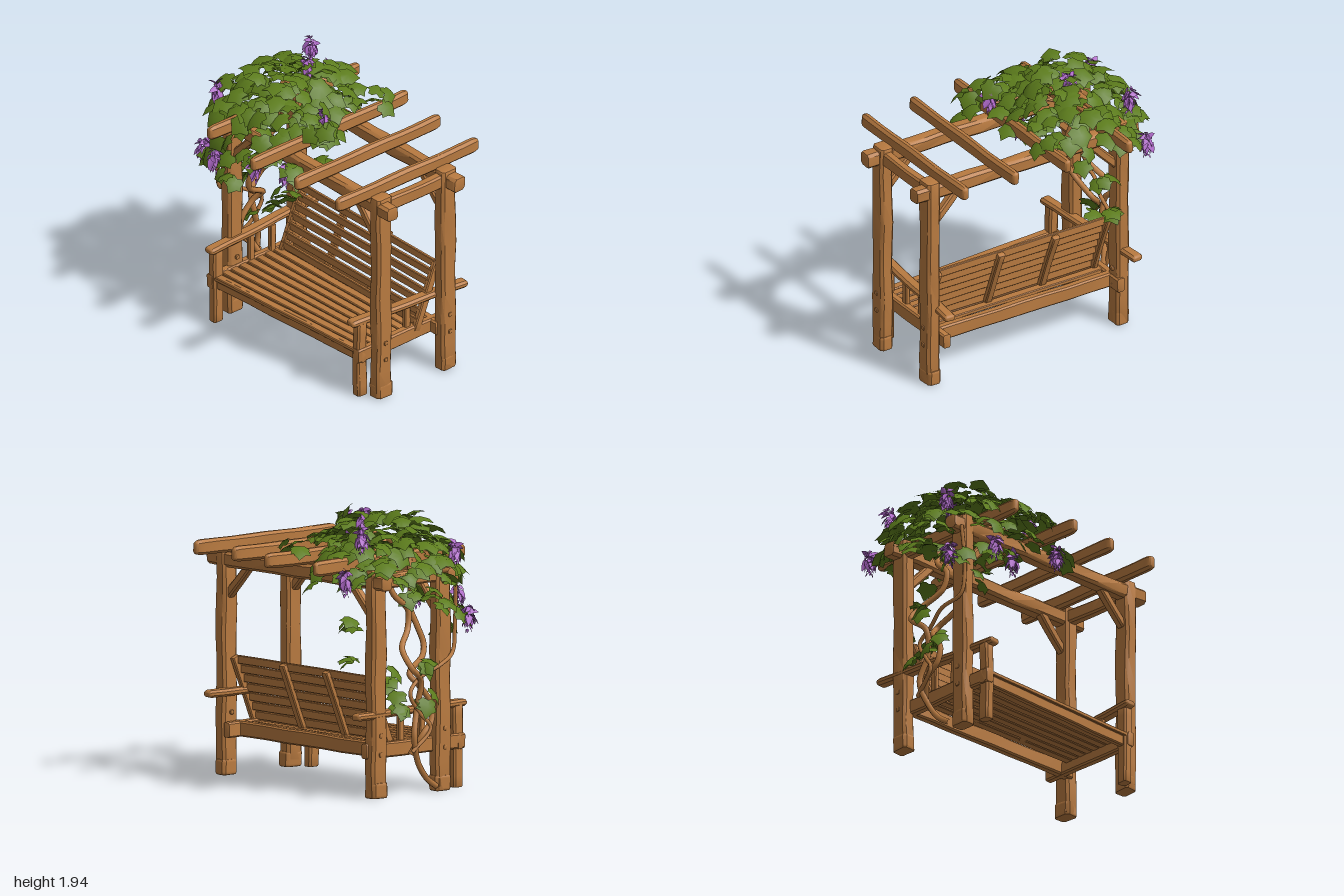
import * as THREE from 'three';
import { mergeGeometries, toCreasedNormals } from 'three/addons/utils/BufferGeometryUtils.js';

const V = (x, y, z) => new THREE.Vector3(x, y, z);
const UP = V(0, 1, 0);

export function createModel() {
  const model = new THREE.Group();
  const mat = (name, color, side = THREE.FrontSide) => {
    const m = new THREE.MeshStandardMaterial({ color, side });
    m.name = name;
    return m;
  };
  const wood = mat('warm wood', 0xb87a40);
  const leafGreen = mat('leaf green', 0x5c7c1c, THREE.DoubleSide);
  const petalPurple = mat('petal purple', 0xae68c8, THREE.DoubleSide);

  let seed = 7;
  const rnd = () => (seed = (seed * 16807) % 2147483647) / 2147483647;
  const jit = (s) => (rnd() - 0.5) * 2 * s;

  const add = (name, geo, material) => {
    const mesh = new THREE.Mesh(geo, material);
    mesh.name = name;
    model.add(mesh);
    return mesh;
  };

  // Hand-hewn timber from a to b: eased edges, slight waviness; nose sets how far the ends are rounded
  function timber(name, a, b, w, h, nose = 0) {
    const thin = Math.min(w, h), len = a.distanceTo(b), c = thin * 0.1;
    const e = thin * (nose ? 0.36 : 0.14), cap = nose || e;
    const x = w / 2 - e, y = h / 2 - e;
    const s = new THREE.Shape([[x - c, -y], [x, c - y], [x, y - c], [x - c, y], [c - x, y], [-x, y - c], [-x, c - y], [c - x, -y]]
      .map(([u, v]) => new THREE.Vector2(u, v)));
    let g = new THREE.ExtrudeGeometry(s, { depth: len - 2 * cap, steps: 8, bevelEnabled: true, bevelThickness: cap, bevelSize: e, bevelSegments: nose ? 4 : 2 });
    g.translate(0, 0, cap);
    const p = g.attributes.position, ph = rnd() * 6, amp = thin * 0.04;
    for (let i = 0; i < p.count; i++) {
      const z = p.getZ(i);
      p.setX(i, p.getX(i) + amp * Math.sin(z * 9 + ph + p.getY(i) * 20));
      p.setY(i, p.getY(i) + amp * Math.sin(z * 11 + ph * 2 + p.getX(i) * 20));
    }
    g = toCreasedNormals(g, 0.7);
    const dir = b.clone().sub(a).normalize();
    const ref = Math.abs(dir.y) > 0.95 ? V(0, 0, 1) : UP;
    const side = ref.clone().cross(dir).normalize();
    g.applyMatrix4(new THREE.Matrix4().makeBasis(side, dir.clone().cross(side), dir).setPosition(a));
    return add(name, g, wood);
  }

  // Pergola posts, cross rails, knee braces and pegs
  for (const [x, s] of [[0.86, -1], [-0.67, 1]]) {
    for (const z of [0.29, -0.29]) {
      timber('post', V(x, 0, z), V(x, 1.56, z), 0.1, 0.13);
      timber('postFoot', V(x, 0, z), V(x, 0.11, z), 0.104, 0.135);
      timber('kneeBrace', V(x + s * 0.03, 1.23, z), V(x + s * 0.25, 1.46, z), 0.06, 0.06);
      for (const y of [0.3, 0.43]) timber('peg', V(x + s * 0.065, y, z), V(x - s * 0.058, y, z), 0.03, 0.03);
    }
    timber('crossRail', V(x, 1.48, -0.3), V(x, 1.48, 0.3), 0.07, 0.1);
  }
  for (const z of [0.3, -0.3]) timber('topBeam', V(-0.8, 1.48, z), V(1, 1.48, z), 0.1, 0.105);
  for (const [x, z0, z1] of [[-0.5, -0.7, 0.65], [0, -0.7, 0.7], [0.39, -0.65, 0.65], [0.79, -0.64, 0.63]])
    timber('rafter', V(x, 1.585, z0), V(x, 1.585, z1), 0.062, 0.105, 0.06);

  // Bench frame; the front edge fans slightly forward on one side and the arms splay to the rear
  const skew = (x) => -0.06 * (x - 0.06);
  for (const x of [0.755, -0.625]) {
    const s = Math.sign(x), fz = 0.43 + skew(x);
    timber('benchLeg', V(x, 0, fz), V(x, 0.57, fz), 0.07, 0.085);
    timber('sideRail', V(x + s * 0.015, 0.32, -0.37), V(x + s * 0.015, 0.32, fz + 0.05), 0.06, 0.105);
    timber('armrest', V(x + s * 0.07, 0.572, -0.5), V(x - s * 0.012, 0.572, fz + 0.08), 0.085, 0.05, 0.03);
    for (const z of [0.16, -0.03]) timber('armSpindle', V(x, 0.34, z), V(x, 0.56, z), 0.035, 0.05);
  }
  timber('frontApron', V(-0.67, 0.315, 0.43 + skew(-0.67)), V(0.8, 0.315, 0.43 + skew(0.8)), 0.045, 0.1);
  timber('rearApron', V(-0.66, 0.32, -0.24), V(0.85, 0.32, -0.24), 0.06, 0.105);

  // Seat slats
  for (let i = 0; i < 9; i++) {
    const t = i / 8, z = -0.14 + t * 0.58;
    timber('seatSlat', V(-0.62, 0.35, z + skew(-0.62) * t), V(0.745, 0.35, z + skew(0.745) * t), 0.062, 0.03);
  }

  // Reclined backrest
  const backAt = (x, t, off = 0) => V(x, 0.38 + 0.42 * t, -0.09 - 0.17 * t - off);
  for (let i = 0; i < 7; i++) {
    const t = 0.04 + i * 0.157;
    timber('backSlat', backAt(-0.59, t), backAt(0.79, t), 0.024, 0.057);
  }
  for (const x of [-0.16, 0.28]) timber('backSupport', backAt(x, -0.1, 0.03), backAt(x, 1.02, 0.03), 0.055, 0.04);
  for (const x of [-0.585, 0.785]) timber('backStile', backAt(x, -0.12, 0.015), backAt(x, 1.03, 0.015), 0.04, 0.06);

  // Climbing vine stems
  const stem = (pts, r) => add('vineStem', new THREE.TubeGeometry(
    new THREE.CatmullRomCurve3(pts.map((p) => V(...p))), pts.length * 6, r, 7), wood);
  stem([[-0.72, 0.04, 0.21], [-0.73, 0.1, 0.12], [-0.74, 0.22, 0.03], [-0.77, 0.4, -0.03], [-0.74, 0.6, 0.02], [-0.77, 0.78, 0.03],
    [-0.8, 0.88, -0.08], [-0.7, 1.0, -0.08], [-0.62, 1.12, 0.04], [-0.6, 1.25, 0.06], [-0.58, 1.36, -0.05], [-0.5, 1.56, -0.1], [-0.3, 1.66, -0.15]], 0.021);
  stem([[-0.72, 0.28, -0.02], [-0.77, 0.42, 0.05], [-0.76, 0.5, 0.13], [-0.74, 0.62, 0.14], [-0.72, 0.75, 0.05], [-0.66, 0.82, 0.02],
    [-0.62, 0.92, 0.17], [-0.59, 1.0, 0.21], [-0.56, 1.12, 0.18], [-0.53, 1.25, 0.14], [-0.56, 1.4, 0.12], [-0.5, 1.6, 0.15], [-0.25, 1.68, 0.2]], 0.021);
  stem([[-0.77, 0.3, -0.05], [-0.79, 0.46, 0.1], [-0.76, 0.56, 0.03], [-0.75, 0.7, -0.05], [-0.74, 0.8, 0.05], [-0.78, 0.88, 0.2], [-0.74, 0.95, 0.34], [-0.73, 1.15, 0.37], [-0.75, 1.45, 0.36]], 0.014);
  stem([[-0.45, 1.64, -0.1], [-0.2, 1.7, 0.1], [0.05, 1.68, 0.2], [0.2, 1.74, 0.24]], 0.009);

  // Leaf and petal blades: an arched fan around an inner point
  const fan = (pts, arch) => {
    const pos = [], idx = [];
    for (const [x, z] of [[0, 0.35], ...pts]) pos.push(x, arch(x, z), z - 0.1);
    pts.forEach((_, i) => idx.push(0, ((i + 1) % pts.length) + 1, i + 1));
    const g = new THREE.BufferGeometry();
    g.setAttribute('position', new THREE.Float32BufferAttribute(pos, 3));
    g.setIndex(idx);
    g.computeVertexNormals();
    return g;
  };
  const half = [[0.25, -0.14], [0.5, 0.0], [0.46, 0.27], [0.6, 0.5], [0.32, 0.66]];
  const outline = [[0, 0], ...half, [0, 1.02], ...half.slice().reverse().map(([x, z]) => [-x, z])];
  const leafGeo = fan(outline, (x, z) => 0.1 - 0.65 * x * x - 0.5 * (z - 0.3) ** 2);
  const petalGeo = fan([[0, 0], [0.3, 0.35], [0.2, 0.75], [0, 1.05], [-0.2, 0.75], [-0.3, 0.35]], (x, z) => Math.abs(x) * 0.3 - 0.25 * z * z);

  const place = (list, geo, pos, normal, tip, size) => {
    const n = normal.clone().normalize();
    const t = tip.clone().addScaledVector(n, -tip.dot(n)).normalize();
    const m = new THREE.Matrix4().makeBasis(n.clone().cross(t), n, t).scale(V(size, size, size)).setPosition(pos);
    list.push(geo.clone().applyMatrix4(m));
  };
  const leaves = [];
  const leafAt = (pos, out, size, lift = 1) => place(leaves, leafGeo, pos,
    V(out.x * 0.6 + jit(0.5), lift + jit(0.3), out.z * 0.6 + jit(0.5)),
    V(out.x + jit(0.7), -0.4, out.z + jit(0.7)), size);

  // Loose, layered canopy over one end of the pergola
  const N = 128;
  for (let i = 0; i < N; i++) {
    const a = i * 2.39996, r = Math.sqrt((i + 0.5) / N), c = Math.cos(a), s = Math.sin(a);
    const x = -0.42 + c * r * 0.46 + jit(0.04), z = s * r * 0.47 + jit(0.04);
    const y = 1.87 - 0.2 * r * r * (c < 0 ? 1.3 : 0.8) + jit(0.045) - (i % 3 === 0 ? 0.12 : 0);
    leafAt(V(x, y, z), V(c * r, 0, s * r), 0.115 + rnd() * 0.045);
  }
  // Trailing clusters: x, y, z, spread, count
  const clusters = [
    [0.19, 1.77, 0.25, 0.06, 6], [0.05, 1.8, 0.18, 0.07, 5], [0.02, 1.68, -0.42, 0.05, 4], [0.1, 1.47, 0.4, 0.04, 4],
    [-0.5, 1.55, 0.42, 0.09, 6], [-0.2, 1.57, 0.42, 0.1, 7], [-0.55, 1.36, 0.42, 0.07, 4], [-0.32, 1.36, 0.34, 0.06, 3],
    [-0.86, 1.36, 0.05, 0.08, 6], [-0.82, 1.5, 0.2, 0.09, 5], [-0.78, 1.5, -0.25, 0.1, 5], [-0.82, 1.24, 0.36, 0.06, 4],
    [-0.65, 1.5, -0.48, 0.08, 5], [-0.3, 1.48, -0.4, 0.08, 3], [-0.5, 1.17, -0.38, 0.05, 4], [-0.55, 0.93, -0.4, 0.04, 3],
    [-0.6, 1.1, 0.38, 0.04, 3], [-0.8, 0.9, 0.06, 0.04, 3], [-0.58, 0.8, -0.08, 0.06, 4], [-0.76, 0.67, 0.1, 0.05, 3],
    [-0.72, 0.66, -0.13, 0.05, 3], [-0.6, 1.4, 0.08, 0.07, 4]];
  for (const [x, y, z, s, n] of clusters)
    for (let i = 0; i < n; i++) {
      const o = V(jit(1), jit(1), jit(1));
      const out = V(x + 0.45, 0, z).normalize().multiplyScalar(0.7).add(V(o.x * 0.6, 0, o.z * 0.6));
      leafAt(V(x, y, z).addScaledVector(o, s), out, 0.1 + rnd() * 0.04, 0.8);
    }
  add('leaves', mergeGeometries(leaves), leafGreen);

  // Hanging blossoms: whorls of broad petals tapering to a tail
  const petals = [];
  for (const [x, y, z] of [[-0.37, 1.88, -0.13], [0.1, 1.78, 0.13], [-0.67, 1.8, -0.42], [-0.7, 1.53, -0.59], [0.06, 1.46, 0.45],
    [-0.59, 1.32, 0.52], [-0.87, 1.22, 0.37], [-0.31, 1.32, 0.4], [-0.82, 1.66, 0.29]])
    for (let k = 0; k < 7; k++) {
      const w = [0.05, 0.07, 0.075, 0.062, 0.045, 0.032, 0.028][k], n = k < 4 ? 6 : 3;
      for (let i = 0; i < n; i++) {
        const a = (i / n) * Math.PI * 2 + k * 0.7 + jit(0.3), c = V(Math.cos(a), 0, Math.sin(a));
        place(petals, petalGeo, V(x + c.x * 0.012, y + 0.045 - k * 0.025, z + c.z * 0.012),
          V(c.x + jit(0.5), 0.8, c.z + jit(0.5)), V(c.x, k < 2 ? 0.7 : -0.4 - k * 0.12, c.z), w * (0.8 + rnd() * 0.45));
      }
    }
  add('blossoms', mergeGeometries(petals), petalPurple);

  // Centre the model and stand it on the ground
  const box = new THREE.Box3().setFromObject(model), mid = box.getCenter(V(0, 0, 0));
  for (const m of model.children) m.geometry.translate(-mid.x, -box.min.y, -mid.z);
  return model;
}
